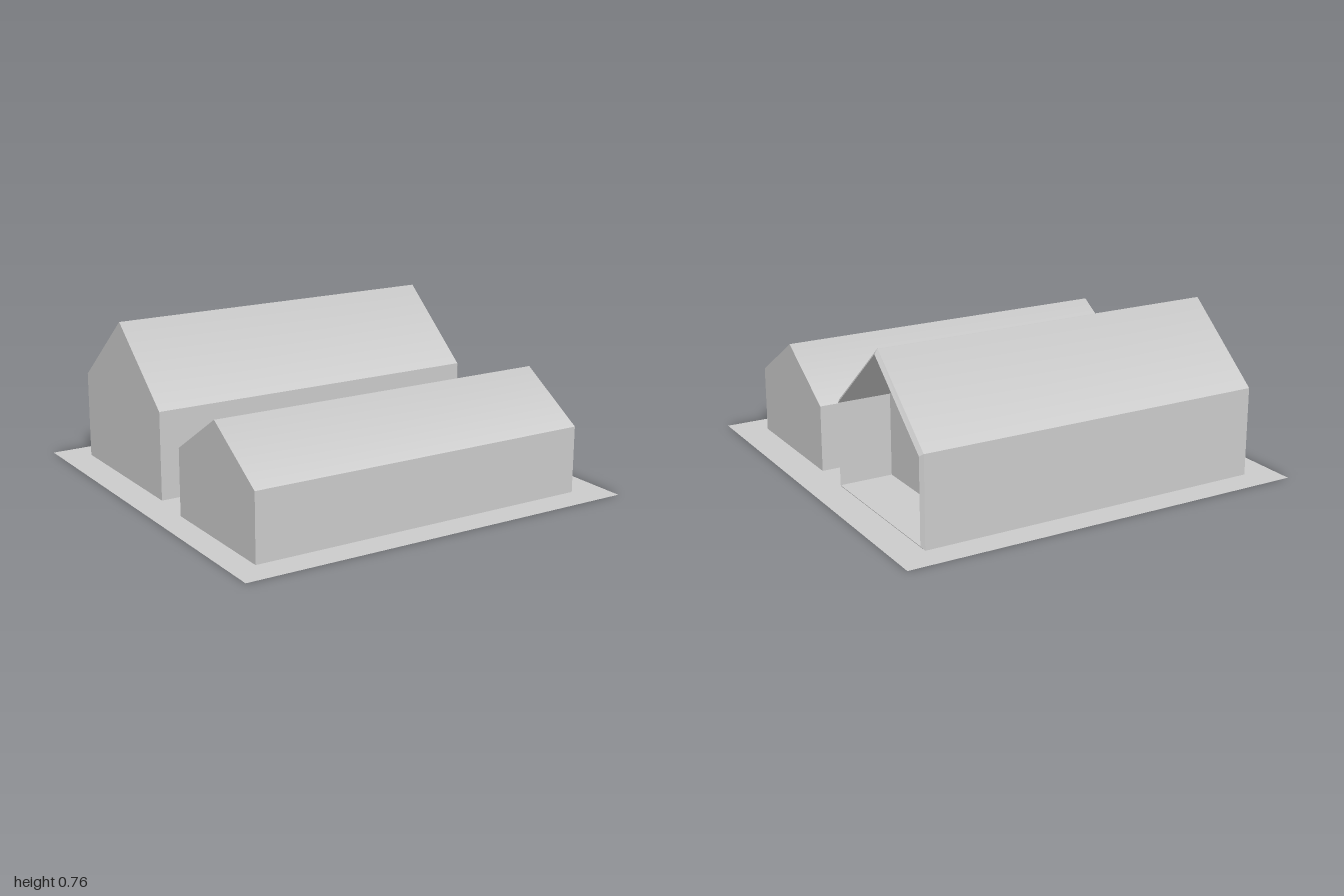
import * as THREE from 'three';

const material = new THREE.MeshStandardMaterial({ color: 0xcccccc });
const sheet = new THREE.MeshStandardMaterial({ color: 0xcccccc, side: THREE.DoubleSide });

// Gabled cross-section as [z, y]: front foot, front eave, ridge, back eave, back foot
function gable(zFront, zBack, base, eave, ridge) {
  return [[zFront, base], [zFront, eave], [(zFront + zBack) / 2, ridge], [zBack, eave], [zBack, base]];
}

function makeMesh(name, positions) {
  const geometry = new THREE.BufferGeometry();
  geometry.setAttribute('position', new THREE.Float32BufferAttribute(positions, 3));
  geometry.computeVertexNormals();
  const mesh = new THREE.Mesh(geometry, material);
  mesh.name = name;
  return mesh;
}

// Joins the chosen edges of section a (at xa) to section b (at xb)
function loft(name, a, xa, b, xb, edges, smoothRidge = false) {
  const positions = [], ridgeVertices = [];
  for (const i of edges) {
    const j = (i + 1) % 5;
    const corners = [[xa, a, i], [xb, b, i], [xb, b, j], [xa, a, j]];
    for (const k of [0, 1, 2, 0, 2, 3]) {
      const [x, section, n] = corners[k];
      if (n === 2) ridgeVertices.push(positions.length / 3);
      positions.push(x, section[n][1], section[n][0]);
    }
  }
  const mesh = makeMesh(name, positions);
  if (smoothRidge) {
    for (const v of ridgeVertices) mesh.geometry.attributes.normal.setXYZ(v, 0, 1, 0);
  }
  return mesh;
}

// Flat end wall facing +x (side = 1) or -x (side = -1)
function endWall(name, section, x, side) {
  const positions = [];
  for (let i = 1; i < 4; i++) {
    const order = side > 0 ? [0, i + 1, i] : [0, i, i + 1];
    for (const n of order) positions.push(x, section[n][1], section[n][0]);
  }
  return makeMesh(name, positions);
}

function shell(name, section, x0, x1) {
  const group = new THREE.Group();
  group.name = name;
  group.add(
    loft('sideWalls', section, x0, section, x1, [0, 3]),
    loft('roof', section, x0, section, x1, [1, 2], true),
    endWall('leftOutEnd', section, x0, -1)
  );
  group.children[2].name = 'closedEndWall';
  return group;
}

export function createModel() {
  const model = new THREE.Group();
  model.name = 'farmBuildings';

  // Ground sheet
  const ground = new THREE.Mesh(new THREE.PlaneGeometry(1.985, 2).rotateX(-Math.PI / 2), sheet);
  ground.name = 'ground';
  model.add(ground);

  // Low front barn, closed at both ends
  const low = gable(0.855, 0.175, 0, 0.32, 0.535);
  const smallBarn = shell('smallBarn', low, -0.865, 0.835);
  smallBarn.add(endWall('gableWall', low, 0.835, 1));
  model.add(smallBarn);

  // Tall rear barn with a bevelled rim around a recessed porch
  const tall = gable(-0.055, -0.865, 0, 0.425, 0.765);
  const inner = gable(-0.07, -0.85, 0.017, 0.413, 0.742);
  const all = [0, 1, 2, 3, 4];
  const largeBarn = shell('largeBarn', tall, -0.845, 0.84);
  largeBarn.add(
    loft('porchRim', tall, 0.84, inner, 0.855, all),
    loft('porchLining', inner, 0.855, inner, 0.595, all),
    endWall('recessedGableWall', inner, 0.595, 1)
  );
  model.add(largeBarn);

  return model;
}
